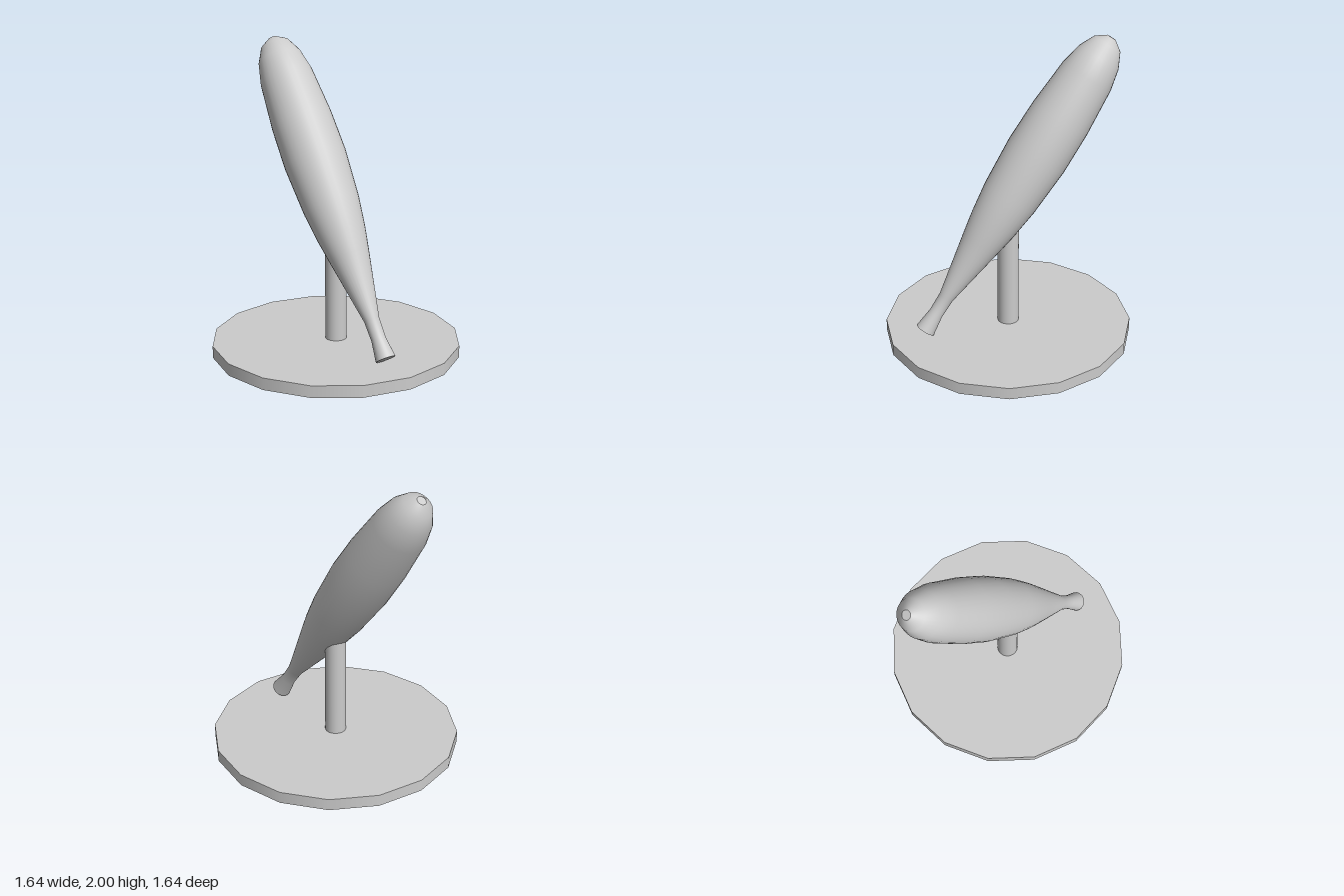
import * as THREE from 'three';

export function createModel() {
  const model = new THREE.Group();
  const material = new THREE.MeshStandardMaterial({ color: 0xcccccc });
  const add = (parent, name, geometry, y = 0) => {
    const mesh = new THREE.Mesh(geometry, material);
    mesh.name = name;
    mesh.position.y = y;
    parent.add(mesh);
    return mesh;
  };

  // Sixteen-sided base plate and the round post standing on it
  add(model, 'basePlate', new THREE.CylinderGeometry(0.82, 0.82, 0.08, 16), 0.04);
  add(model, 'supportPost', new THREE.CylinderGeometry(0.07, 0.07, 0.79, 32), 0.455);

  // Leaning club: [radius, distance along its axis] from the grip to the tip
  const profile = [
    [0.065, 0], [0.047, 0.136], [0.05, 0.265], [0.133, 0.7], [0.16, 0.85], [0.187, 1.05],
    [0.208, 1.38], [0.203, 1.66], [0.178, 1.98], [0.147, 2.12], [0.097, 2.22], [0.03, 2.268],
  ].map(([r, y]) => new THREE.Vector2(r, y));

  const club = new THREE.Group();
  club.name = 'club';
  add(club, 'clubBody', new THREE.LatheGeometry(profile, 32));
  add(club, 'gripEnd', new THREE.CircleGeometry(0.065, 32).rotateX(Math.PI / 2));
  add(club, 'tipEnd', new THREE.CircleGeometry(0.03, 32).rotateX(-Math.PI / 2), 2.268);
  club.position.set(-0.02, 0.125, 0.585);
  club.rotation.x = -0.613;
  model.add(club);

  return model;
}
